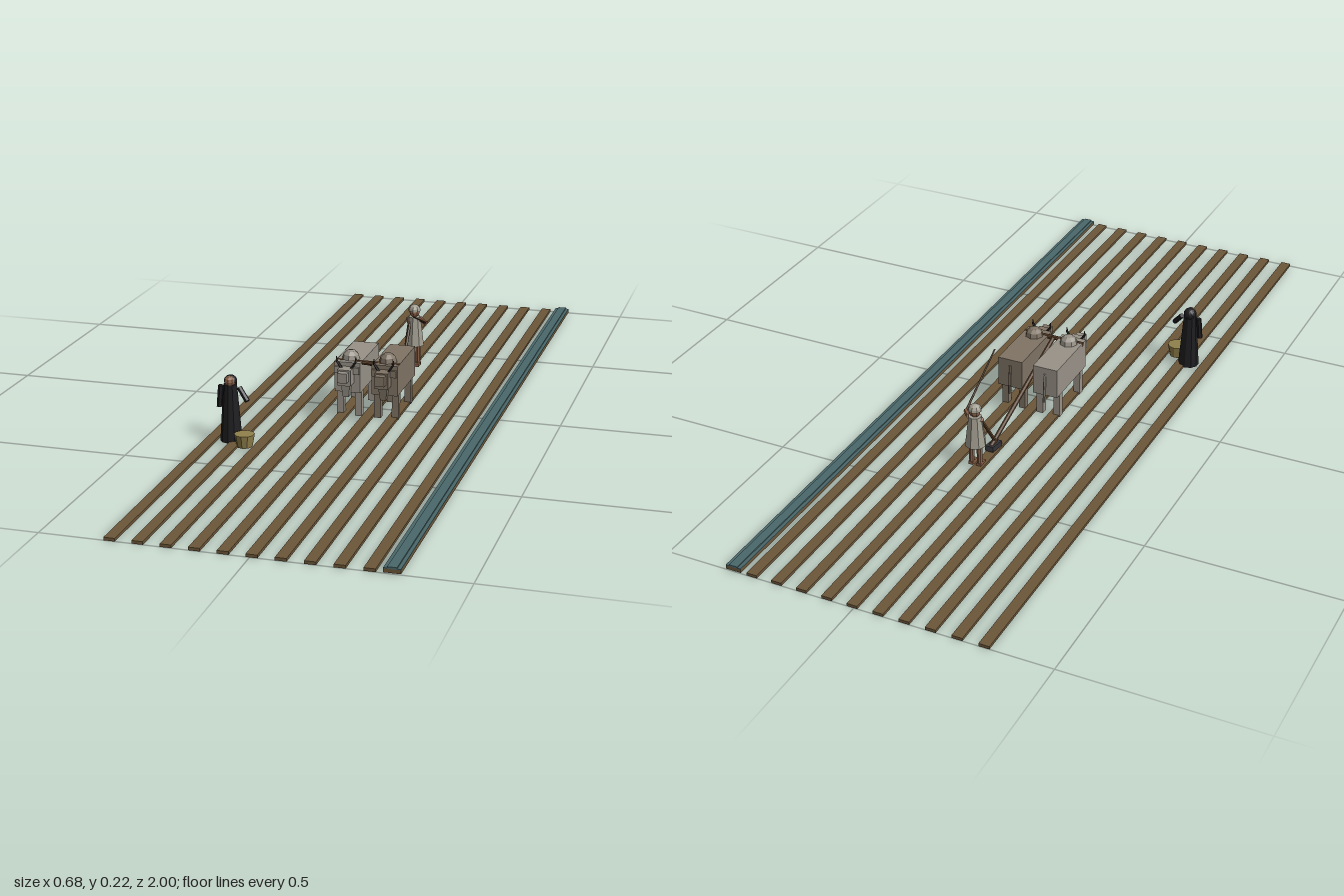
import * as THREE from 'three';

const mat = (color) => new THREE.MeshStandardMaterial({ color, flatShading: true });
const M = {
  soil: mat(0x6b5639), water: mat(0x4a686b), wood: mat(0x5d4129), iron: mat(0x35353a),
  oxGrey: mat(0x989288), oxBrown: mat(0x7f7364), horn: mat(0x2c2925),
  tunic: mat(0xa09c8f), skin: mat(0x8c6248), robe: mat(0x1e1e21), basket: mat(0x90804c),
};

function add(parent, name, geometry, material, x = 0, y = 0, z = 0) {
  const m = new THREE.Mesh(geometry, material);
  m.name = name;
  m.position.set(x, y, z);
  parent.add(m);
  return m;
}
const box = (w, h, d) => new THREE.BoxGeometry(w, h, d);
const cyl = (top, bottom, h, n = 8) => new THREE.CylinderGeometry(top, bottom, h, n);

// Tapered rod running from point a to point b
function rod(parent, name, a, b, ra, rb, material, sides = 6) {
  const p = new THREE.Vector3(...a), q = new THREE.Vector3(...b);
  const m = add(parent, name, cyl(rb, ra, p.distanceTo(q), sides), material);
  m.position.copy(p).add(q).multiplyScalar(0.5);
  m.quaternion.setFromUnitVectors(new THREE.Vector3(0, 1, 0), q.sub(p).normalize());
  return m;
}

function group(parent, name, x, y, z) {
  const g = new THREE.Group();
  g.name = name;
  g.position.set(x, y, z);
  parent.add(g);
  return g;
}

function makeField(root) {
  const field = group(root, 'field', 0, 0, 0);
  for (let i = 0; i < 10; i++) {
    add(field, 'furrow', box(0.027, 0.0075, 2), M.soil, -0.329 + i * 0.0667, 0.00375, 0);
  }
  // Irrigation channel: earth bank with water on top
  add(field, 'canalBank', box(0.04, 0.009, 2), M.soil, 0.321, 0.0065, 0);
  add(field, 'canalWater', box(0.04, 0.002, 2), M.water, 0.321, 0.012, 0);
  add(field, 'canalCrest', box(0.022, 0.003, 2), M.water, 0.321, 0.0145, 0);
}

function makeOx(root, x, hide) {
  const ox = group(root, 'ox', x, 0, 0);
  add(ox, 'body', box(0.069, 0.081, 0.18), hide, 0, 0.112, 0);
  add(ox, 'head', box(0.035, 0.043, 0.04), hide, 0, 0.12, 0.103);
  add(ox, 'muzzle', box(0.026, 0.026, 0.03), hide, 0, 0.125, 0.127);
  const brisket = add(ox, 'brisket', cyl(0.017, 0.011, 0.036, 4), hide, 0, 0.081, 0.098);
  brisket.geometry.rotateY(Math.PI / 4);
  add(ox, 'hump', new THREE.SphereGeometry(0.024, 8, 6), hide, 0, 0.153, 0.055);
  for (const s of [-1, 1]) {
    add(ox, 'ear', box(0.016, 0.018, 0.008), hide, s * 0.025, 0.133, 0.096);
    rod(ox, 'horn', [s * 0.012, 0.138, 0.1], [s * 0.025, 0.158, 0.101], 0.004, 0.003, M.horn);
    rod(ox, 'hornTip', [s * 0.025, 0.157, 0.101], [s * 0.026, 0.171, 0.1], 0.003, 0.001, M.horn);
    for (const z of [-0.062, 0.065]) {
      add(ox, 'leg', box(0.018, 0.074, 0.018), hide, s * 0.024, 0.039, z);
    }
  }
  rod(ox, 'tail', [0, 0.135, -0.09], [0, 0.054, -0.097], 0.004, 0.003, hide);
}

function makePlough(root) {
  const plough = group(root, 'plough', 0.005, 0, 0);
  rod(plough, 'yoke', [-0.086, 0.149, 0.07], [0.083, 0.149, 0.07], 0.006, 0.006, M.wood, 8);
  rod(plough, 'beam', [0, 0.148, 0.07], [0, 0.022, -0.305], 0.006, 0.006, M.wood);
  rod(plough, 'handle', [0, 0.022, -0.275], [0, 0.135, -0.355], 0.005, 0.004, M.wood);
  const share = add(plough, 'share', box(0.023, 0.014, 0.05), M.iron, 0, 0.018, -0.288);
  share.rotation.x = 0.15;
}

function makePloughman(root) {
  const man = group(root, 'ploughman', 0.015, 0, -0.366);
  for (const s of [-1, 1]) {
    add(man, 'leg', cyl(0.008, 0.007, 0.066), M.skin, s * 0.011, 0.04, 0);
    add(man, 'foot', box(0.013, 0.008, 0.025), M.skin, s * 0.011, 0.01, 0.005);
  }
  add(man, 'tunic', cyl(0.017, 0.028, 0.083, 8), M.tunic, 0, 0.107, 0);
  add(man, 'head', new THREE.SphereGeometry(0.0145, 8, 6), M.skin, 0, 0.161, 0);
  add(man, 'cap', new THREE.SphereGeometry(0.018, 8, 4, 0, Math.PI * 2, 0, Math.PI / 2),
    M.tunic, 0, 0.165, 0).material = Object.assign(M.tunic.clone(), { side: THREE.DoubleSide });
  // One arm on the plough handle, the other holding the goad
  rod(man, 'handleArm', [-0.017, 0.143, 0], [-0.01, 0.128, 0.014], 0.007, 0.006, M.skin);
  rod(man, 'goadArm', [0.017, 0.143, 0], [0.039, 0.139, 0.026], 0.007, 0.006, M.skin);
  rod(man, 'goad', [0.037, 0.138, 0.02], [0.051, 0.214, 0.213], 0.003, 0.002, M.wood);
}

function makeSower(root) {
  const sower = group(root, 'robedFigure', -0.28, 0, 0.333);
  add(sower, 'robe', cyl(0.017, 0.028, 0.15, 10), M.robe, 0, 0.078, 0);
  add(sower, 'head', new THREE.SphereGeometry(0.0145, 8, 6), M.skin, 0, 0.16, 0.002);
  // Veil over the crown and back of the head, open at the face
  const veil = add(sower, 'veil', new THREE.SphereGeometry(0.0175, 10, 6, 0, Math.PI * 2, 0, 1.75),
    M.robe.clone(), 0, 0.158, -0.003);
  veil.material.side = THREE.DoubleSide;
  veil.rotation.x = -0.55;
  rod(sower, 'rightArm', [-0.025, 0.147, 0], [-0.03, 0.09, 0], 0.007, 0.007, M.robe);
  rod(sower, 'leftArm', [0.024, 0.145, 0], [0.049, 0.115, 0.012], 0.007, 0.007, M.robe);

  const basket = group(root, 'basket', -0.234, 0, 0.364);
  add(basket, 'basketBody', cyl(0.026, 0.02, 0.033, 10), M.basket, 0, 0.0185, 0);
}

export function createModel() {
  const root = new THREE.Group();
  root.name = 'ploughingScene';
  makeField(root);
  makeOx(root, -0.046, M.oxGrey);
  makeOx(root, 0.054, M.oxBrown);
  makePlough(root);
  makePloughman(root);
  makeSower(root);
  return root;
}
